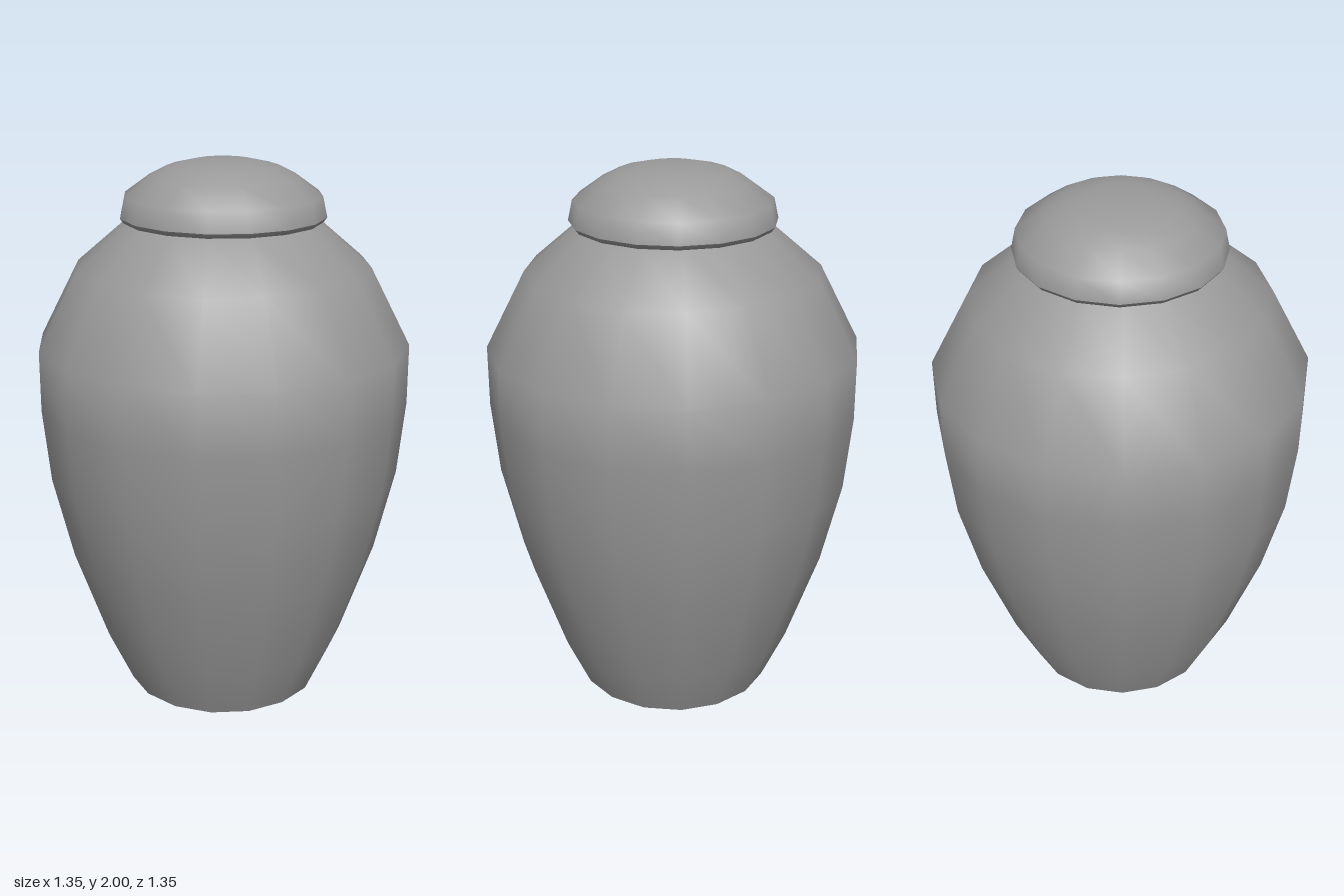
import * as THREE from 'three';

const SIDES = 16;
const material = new THREE.MeshStandardMaterial({ color: 0x9a9a9a });

// Smooth turned surface from [radius, height] pairs, listed bottom to top
function turned(name, profile, turn = 0) {
  const points = profile.map(([r, y]) => new THREE.Vector2(r, y));
  const mesh = new THREE.Mesh(new THREE.LatheGeometry(points, SIDES, turn), material);
  mesh.name = name;
  return mesh;
}

export function createModel() {
  const group = new THREE.Group();
  group.name = 'lidded urn';
  const bodyTurn = 0.03;

  // Body: narrow foot, high full shoulder, neck running up inside the lid
  group.add(turned('body', [
    [0.365, 0], [0.456, 0.2], [0.577, 0.55], [0.65, 0.86],
    [0.677, 1.13], [0.677, 1.35], [0.532, 1.63], [0.345, 1.79], [0.2, 1.85],
  ], bodyTurn));

  // Flat base, separate so its edge stays sharp
  group.add(turned('base', [[0, 0], [0.365, 0]], bodyTurn));

  // Lid: underside rolling into the rim, and shallow dome
  const lid = new THREE.Group();
  lid.name = 'lid';
  lid.add(
    turned('lidRim', [[0.3, 1.79], [0.358, 1.79], [0.371, 1.807]]),
    turned('lidDome', [
      [0.371, 1.807], [0.355, 1.88], [0.265, 1.945],
      [0.2, 1.978], [0.105, 2], [0, 2],
    ]),
  );
  group.add(lid);
  return group;
}
